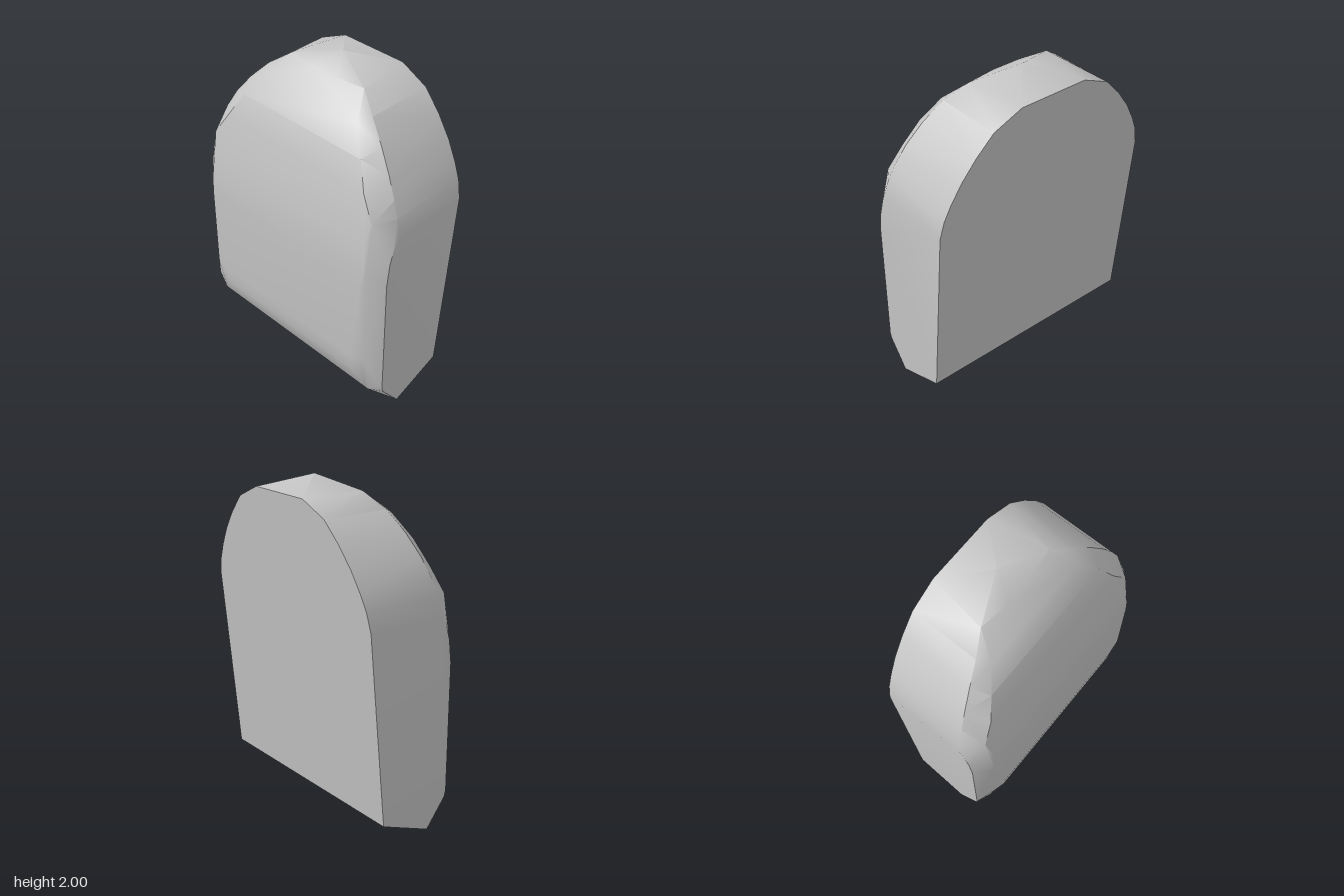
import * as THREE from 'three';
import { ConvexGeometry } from 'three/addons/geometries/ConvexGeometry.js';
import { toCreasedNormals } from 'three/addons/utils/BufferGeometryUtils.js';

// Depth of the leaning back plane at height y
const backZ = (y) => -0.19 - 0.095 * (y - 0.13);

// Arch outline with the depth of its front rim: [x, y, z]
const archRim = [
  [0.73, 0.17, 0.27], [0.73, 0.21, 0.28], [0.73, 1.0, 0.28], [0.73, 1.14, 0.262],
  [0.73, 1.23, 0.235], [0.73, 1.29, 0.2], [0.705, 1.4, 0.19], [0.665, 1.49, 0.175],
  [0.6, 1.605, 0.15], [0.51, 1.725, 0.115], [0.4, 1.84, 0.07], [0.275, 1.93, 0.005],
];

// Border of the curved front panel: [half width, y, z]
const frontPanel = [
  [0.55, 0.03, 0.2], [0.64, 0.15, 0.305], [0.545, 0.29, 0.352], [0.635, 0.43, 0.355],
  [0.545, 0.4, 0.36], [0.635, 0.97, 0.355], [0.6, 0.97, 0.36], [0.63, 1.08, 0.352],
  [0.61, 1.22, 0.34], [0.63, 1.38, 0.305], [0.54, 1.52, 0.275], [0.46, 1.67, 0.217],
  [0.36, 1.81, 0.14], [0.09, 1.93, 0.03],
];

// Corners of the slanted base and the cut at the top of the back
const baseAndCrown = [
  [0.73, 0, 0.14], [0.73, 0.13, -0.19], [0.22, 1.92, -0.36],
];

export function createModel() {
  const points = [new THREE.Vector3(0, 2, -0.115)];
  const addPair = (x, y, z) => {
    for (const side of [-1, 1]) points.push(new THREE.Vector3(side * x, y, z));
  };

  for (const p of [...archRim, ...frontPanel, ...baseAndCrown]) addPair(...p);

  // Arch carried straight back to the leaning plane
  for (const [x, y] of archRim) {
    if (y >= 1.29 && y < 1.9) addPair(x, y, backZ(y));
  }

  const grey = new THREE.MeshStandardMaterial({ color: 0xc4c4c4 });
  grey.name = 'lightGrey';

  const body = new THREE.Mesh(toCreasedNormals(new ConvexGeometry(points), 0.62), grey);
  body.name = 'archedBlock';

  const group = new THREE.Group();
  group.name = 'archedBlockModel';
  group.add(body);
  return group;
}
